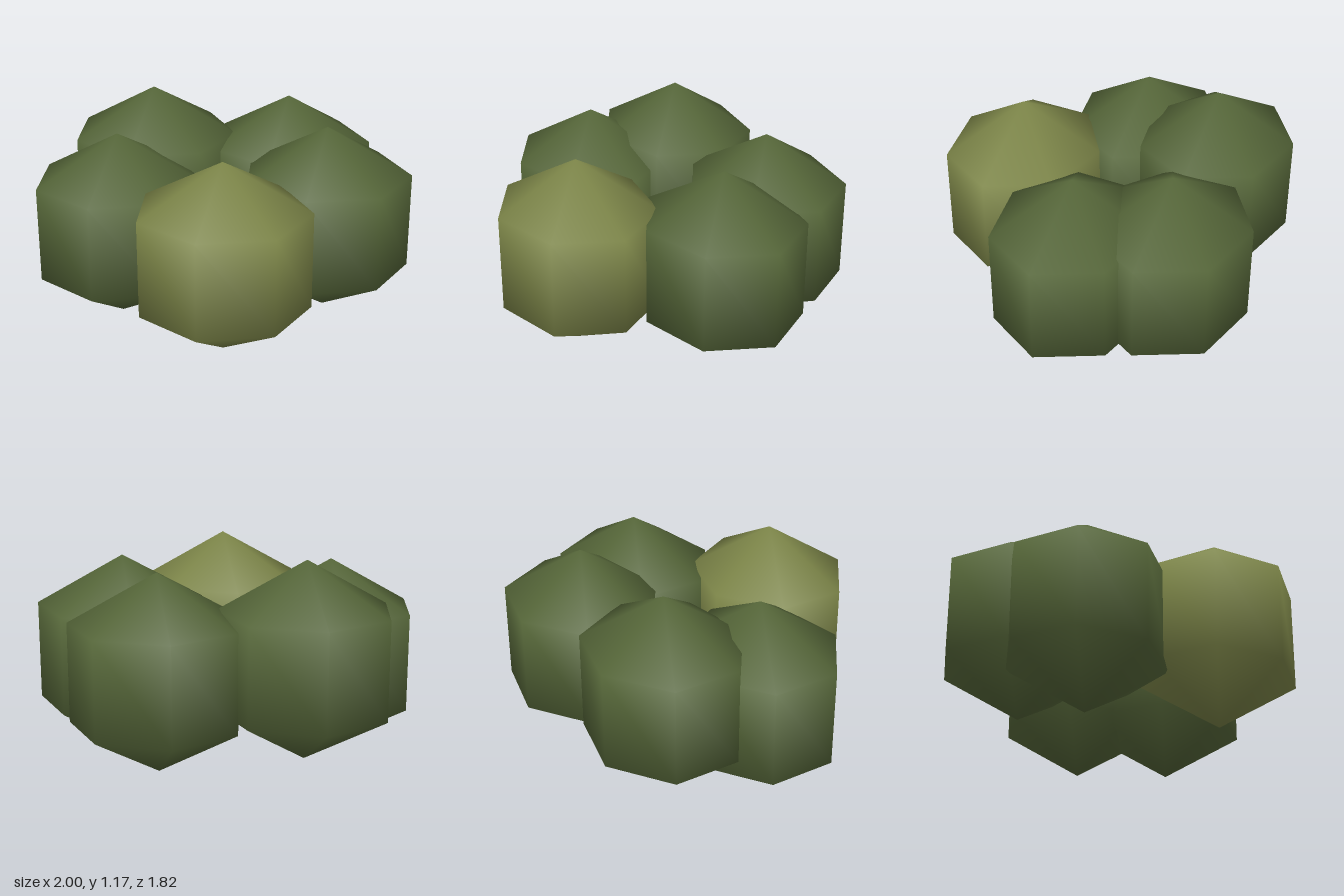
import * as THREE from 'three';

export function createModel() {
  const group = new THREE.Group();
  group.name = 'bush';

  const darkGreen = new THREE.MeshStandardMaterial({ color: 0x57683a });
  darkGreen.name = 'dark green';
  const oliveGreen = new THREE.MeshStandardMaterial({ color: 0x7f884a });
  oliveGreen.name = 'olive green';

  // One smooth seven-sided clump, slightly flattened front to back
  const clump = new THREE.SphereGeometry(0.534, 7, 3);
  clump.rotateY(Math.PI);
  clump.scale(1, 1, 0.9);

  // Ring of overlapping clumps: name, centre, material
  const clumps = [
    ['frontClump', 0.02, 0.582, 0.506, oliveGreen],
    ['rightClump', -0.583, 0.534, 0.044, darkGreen],
    ['leftClump', 0.537, 0.567, -0.056, darkGreen],
    ['backRightClump', -0.443, 0.634, -0.435, darkGreen],
    ['backLeftClump', 0.314, 0.577, -0.503, darkGreen],
  ];
  for (const [name, x, y, z, material] of clumps) {
    const mesh = new THREE.Mesh(clump, material);
    mesh.name = name;
    mesh.position.set(x, y, z);
    group.add(mesh);
  }
  return group;
}
